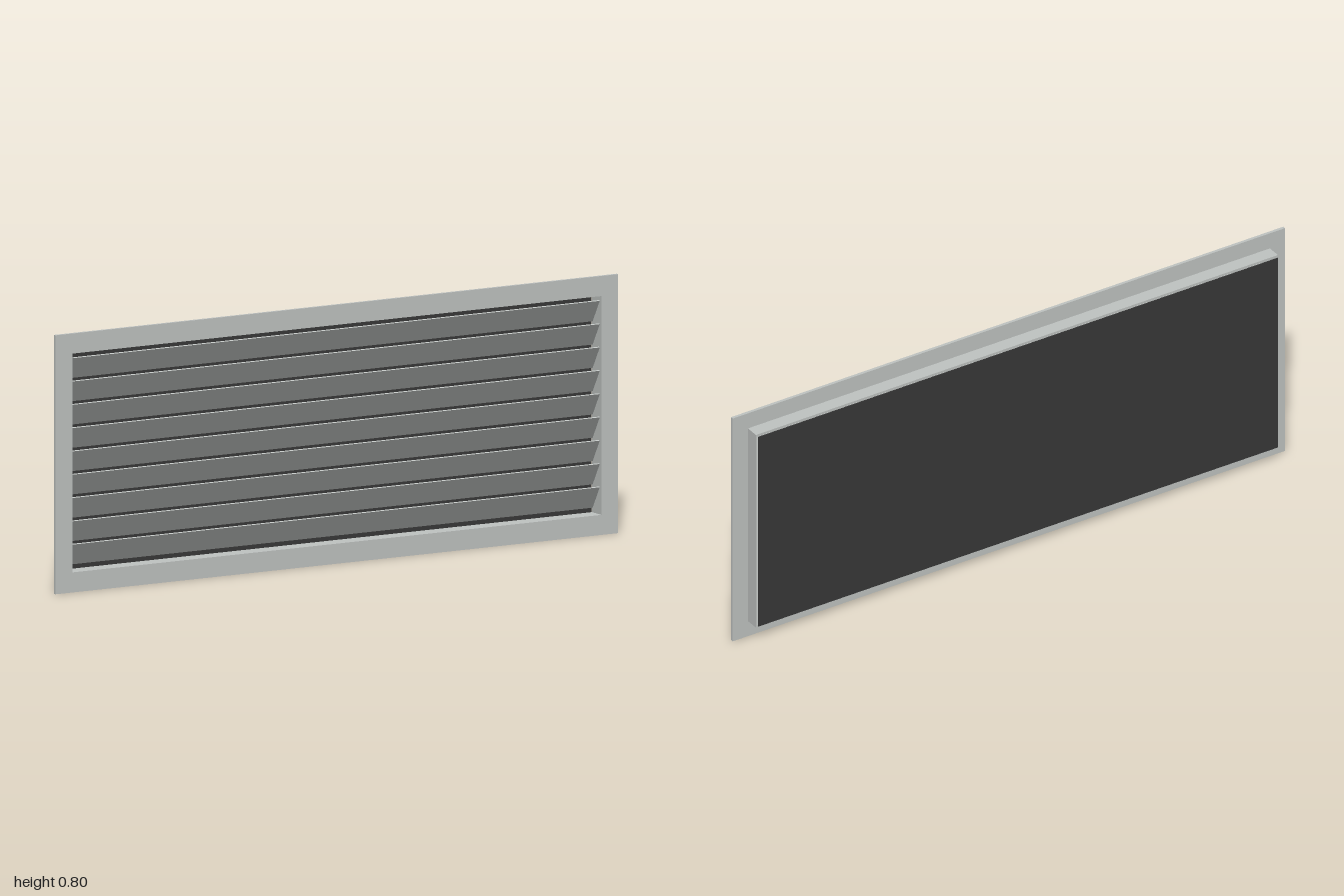
import * as THREE from 'three';

const CENTER_Y = 0.4;
const SLATS = 9;
const PITCH = 0.072;

// Rectangular ring with a rectangular opening, extruded from z0 to z1
function ring(width, height, openWidth, openHeight, z0, z1) {
  const rect = (path, w, h) => path
    .moveTo(-w / 2, -h / 2).lineTo(w / 2, -h / 2)
    .lineTo(w / 2, h / 2).lineTo(-w / 2, h / 2).closePath();
  const shape = new THREE.Shape();
  rect(shape, width, height);
  const hole = new THREE.Path();
  rect(hole, openWidth, openHeight);
  shape.holes.push(hole);
  const geometry = new THREE.ExtrudeGeometry(shape, { depth: z1 - z0, bevelEnabled: false });
  return geometry.translate(0, CENTER_Y, z0);
}

export function createModel() {
  const group = new THREE.Group();
  group.name = 'ventGrille';

  const metal = new THREE.MeshStandardMaterial({ color: 0xc0c4c2 });
  metal.name = 'light grey metal';
  const mesh = new THREE.MeshStandardMaterial({ color: 0x383838 });
  mesh.name = 'dark backing';

  const add = (name, geometry, material, parent = group) => {
    const part = new THREE.Mesh(geometry, material);
    part.name = name;
    parent.add(part);
    return part;
  };

  // Front flange and the shallow collar behind it
  add('flange', ring(2, 0.8, 1.88, 0.676, 0.021, 0.031), metal);
  add('collar', ring(1.89, 0.692, 1.88, 0.676, -0.024, 0.021), metal);

  // Thin dark sheet closing the back
  const backing = add('backing', new THREE.BoxGeometry(1.88, 0.68, 0.003), mesh);
  backing.position.set(0, CENTER_Y, -0.0295);

  // Sloping slats, upper edge forward
  const slats = new THREE.Group();
  slats.name = 'slats';
  group.add(slats);
  const slatGeometry = new THREE.BoxGeometry(1.88, 0.081, 0.004);
  for (let i = 0; i < SLATS; i++) {
    const slat = add('slat', slatGeometry, metal, slats);
    slat.position.set(0, CENTER_Y + (i - (SLATS - 1) / 2) * PITCH, -0.001);
    slat.rotation.x = 0.54;
  }

  return group;
}
